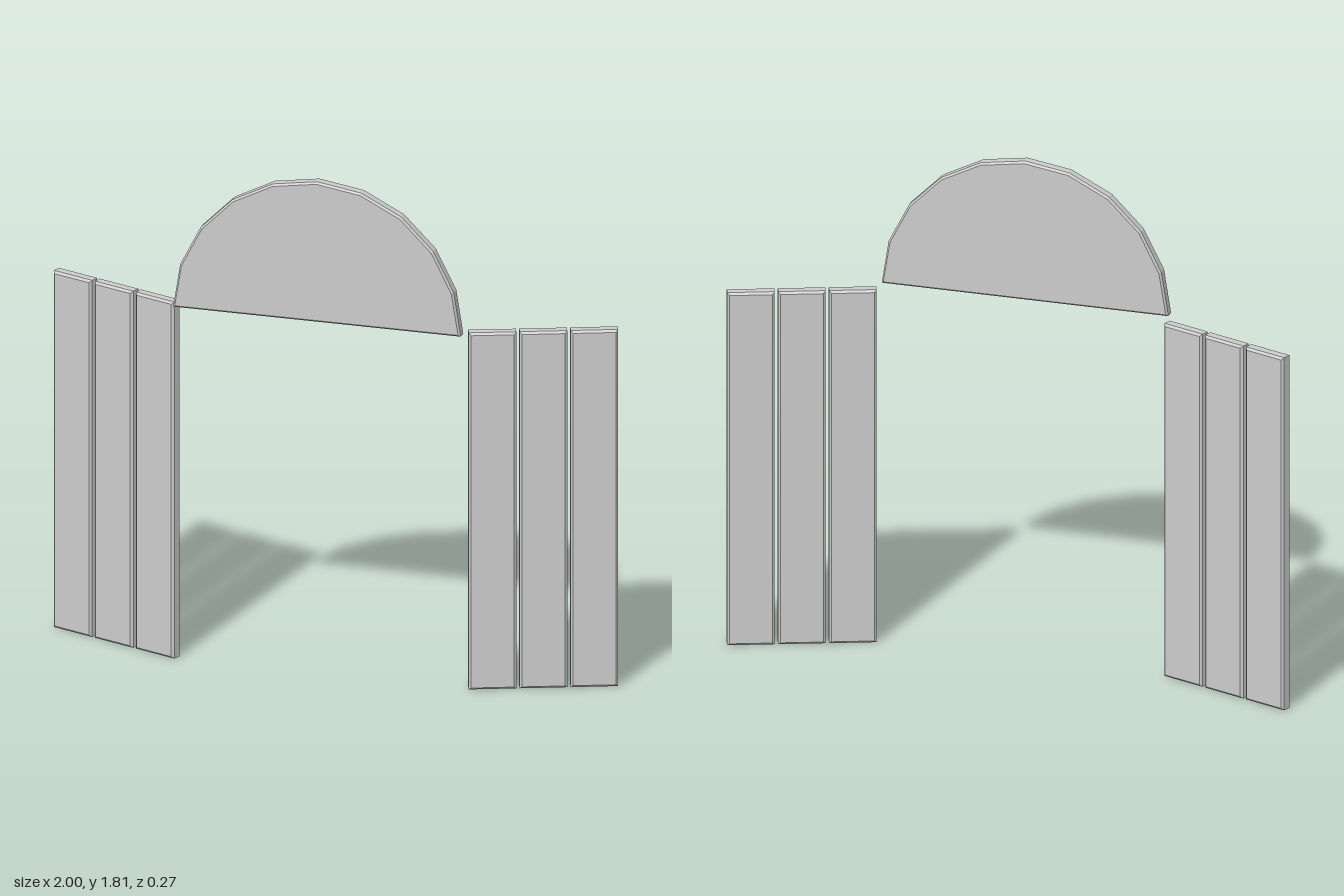
import * as THREE from 'three';

const material = new THREE.MeshStandardMaterial({ color: 0xcccccc, flatShading: true });

// Plate of a given outline, centred on z = 0, with a small chamfer kept inside the outline
function plate(points, thickness, chamfer) {
  const geometry = new THREE.ExtrudeGeometry(new THREE.Shape(points), {
    depth: thickness - 2 * chamfer,
    bevelEnabled: true,
    bevelThickness: chamfer,
    bevelSize: chamfer,
    bevelOffset: -chamfer,
    bevelSegments: 1,
  });
  return geometry.translate(0, 0, chamfer - thickness / 2);
}

export function createModel() {
  const model = new THREE.Group();
  model.name = 'archedGateway';

  // Half-round board over the opening
  const radius = 0.509, baseY = 1.302, segments = 10;
  const arc = [];
  for (let i = 0; i <= segments; i++) {
    const a = (i / segments) * Math.PI;
    arc.push(new THREE.Vector2(radius * Math.cos(a), baseY + radius * Math.sin(a)));
  }
  const arch = new THREE.Mesh(plate(arc, 0.045, 0.007), material);
  arch.name = 'archBoard';
  arch.position.z = 0.1125;
  model.add(arch);

  // Angled side panels of three upright slats each
  const w = 0.162 / 2, height = 1.297, pitch = 0.1735;
  const outline = [[-w, 0], [w, 0], [w, height], [-w, height]].map(([x, y]) => new THREE.Vector2(x, y));
  const slatGeometry = plate(outline, 0.045, 0.008);
  for (const side of [1, -1]) {
    const panel = new THREE.Group();
    panel.name = side > 0 ? 'leftPanel' : 'rightPanel';
    panel.position.set(side * 0.755, 0, -0.0285);
    panel.rotation.y = side * THREE.MathUtils.degToRad(20);
    for (let i = -1; i <= 1; i++) {
      const slat = new THREE.Mesh(slatGeometry, material);
      slat.name = 'slat';
      slat.position.x = i * pitch;
      panel.add(slat);
    }
    model.add(panel);
  }
  return model;
}
